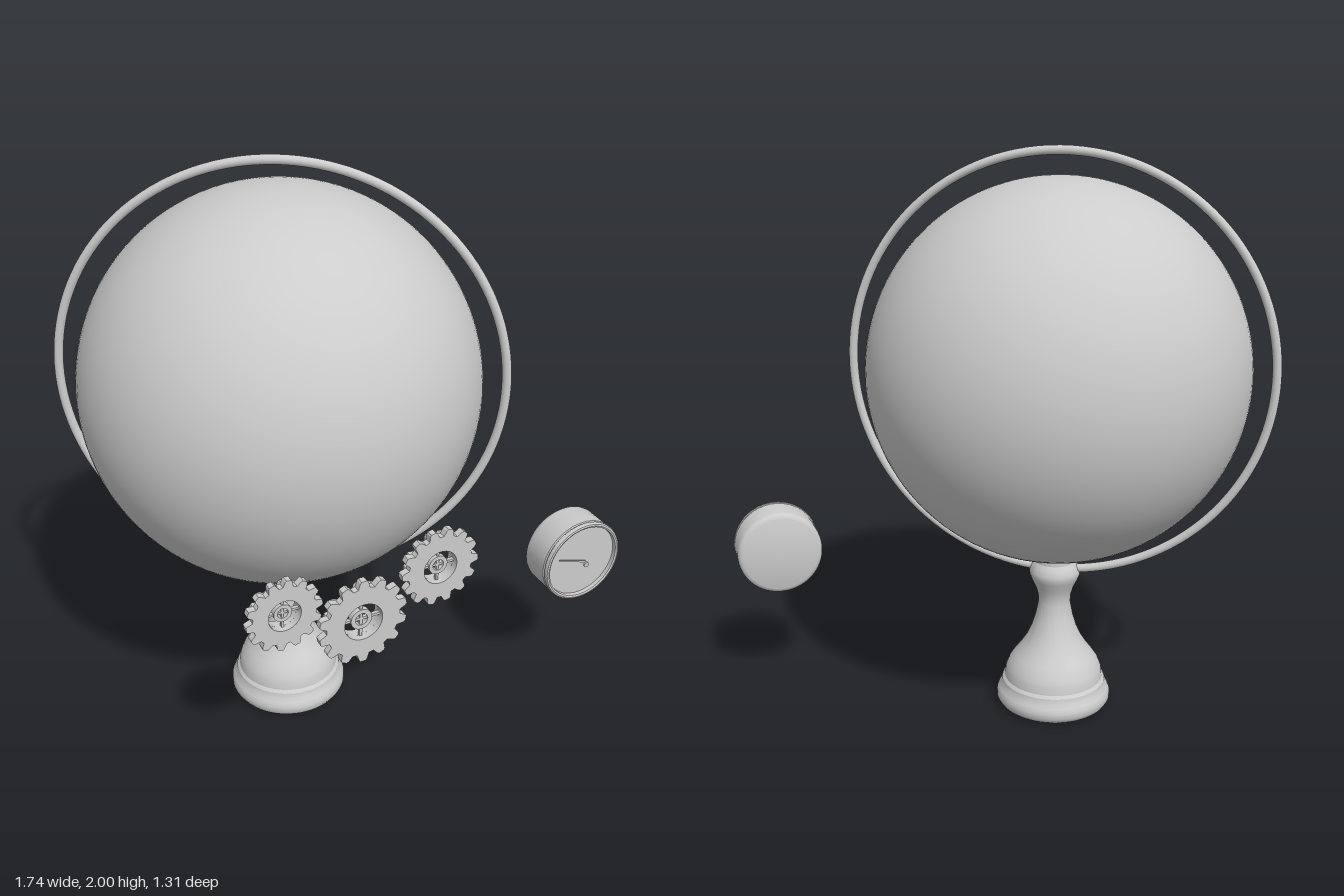
import * as THREE from 'three';
import { toCreasedNormals } from 'three/addons/utils/BufferGeometryUtils.js';

const grey = new THREE.MeshStandardMaterial({ color: 0xcccccc });
grey.name = 'plain grey';

function add(parent, name, geometry, x = 0, y = 0, z = 0) {
  const mesh = new THREE.Mesh(geometry, grey);
  mesh.name = name;
  mesh.position.set(x, y, z);
  parent.add(mesh);
  return mesh;
}

const lathe = (points, segments = 64) => toCreasedNormals(
  new THREE.LatheGeometry(points.map(([r, y]) => new THREE.Vector2(r, y)), segments), 0.55);

// Flat toothed plate with a round bore
function gearPlate(radius, bore, depth, teeth = 14) {
  const shape = new THREE.Shape();
  const root = radius * 0.83;
  const profile = [[-0.36, root], [-0.22, radius * 0.96], [-0.14, radius], [0.14, radius], [0.22, radius * 0.96], [0.36, root]];
  for (let i = 0; i < teeth; i++) {
    for (const [offset, r] of profile) {
      const a = ((i + offset) / teeth) * Math.PI * 2;
      const x = Math.cos(a) * r, y = Math.sin(a) * r;
      if (i === 0 && offset === profile[0][0]) shape.moveTo(x, y);
      else shape.lineTo(x, y);
    }
  }
  shape.closePath();
  shape.holes.push(new THREE.Path().absarc(0, 0, bore, 0, Math.PI * 2, true));
  return new THREE.ExtrudeGeometry(shape, { depth, bevelEnabled: false, curveSegments: 20 });
}

// Large gear in front, smaller one behind, joined by a spoked hub
function makeGear(name, radius, x, y, z, turn) {
  const gear = new THREE.Group();
  gear.name = name;
  gear.position.set(x, y, z);
  gear.rotation.z = turn;
  const bore = radius * 0.43;
  add(gear, 'frontGear', gearPlate(radius, bore, 0.024), 0, 0, 0.031);
  add(gear, 'backGear', gearPlate(radius * 0.76, bore, 0.024));
  const ring = new THREE.Shape().absarc(0, 0, radius * 0.24, 0, Math.PI * 2);
  ring.holes.push(new THREE.Path().absarc(0, 0, radius * 0.14, 0, Math.PI * 2, true));
  add(gear, 'hubRing', new THREE.ExtrudeGeometry(ring, { depth: 0.02, bevelEnabled: false }), 0, 0, 0.02);
  // Collar bridging the two plates
  const collar = new THREE.Shape().absarc(0, 0, bore * 1.15, 0, Math.PI * 2);
  collar.holes.push(new THREE.Path().absarc(0, 0, bore, 0, Math.PI * 2, true));
  add(gear, 'collar', new THREE.ExtrudeGeometry(collar, { depth: 0.007, bevelEnabled: false }), 0, 0, 0.024);
  for (let i = 0; i < 2; i++) {
    const spoke = add(gear, 'spoke', new THREE.BoxGeometry(bore * 2, radius * 0.06, 0.012), 0, 0, 0.03);
    spoke.rotation.z = i * Math.PI / 2 - turn;
  }
  return gear;
}

export function createModel() {
  const model = new THREE.Group();
  model.name = 'globeOnStand';
  const cx = -0.215;

  // Globe and its tilted-plane meridian ring
  add(model, 'globe', new THREE.SphereGeometry(0.655, 96, 64), cx, 1.25, 0);
  const ring = add(model, 'meridianRing', new THREE.TorusGeometry(0.73, 0.0155, 16, 128), cx, 1.255, 0);
  ring.rotation.y = -Math.PI / 6;

  // Turned pedestal
  add(model, 'pedestal', lathe([
    [0, 0], [0.185, 0], [0.198, 0.01], [0.207, 0.025], [0.207, 0.045], [0.2, 0.062],
    [0.19, 0.075], [0.187, 0.095], [0.178, 0.105], [0.174, 0.135],
    [0.17, 0.145], [0.162, 0.165], [0.145, 0.19], [0.122, 0.22], [0.1, 0.255],
    [0.082, 0.295], [0.068, 0.34], [0.057, 0.395], [0.059, 0.425], [0.068, 0.455],
    [0.082, 0.485], [0.09, 0.505], [0.09, 0.52], [0.082, 0.54], [0.072, 0.555], [0.07, 0.61], [0, 0.61],
  ]), cx, 0, 0);

  // Gear train in front of the globe
  model.add(makeGear('rightGear', 0.125, -0.478, 0.8, 0.547, 0.1));
  model.add(makeGear('middleGear', 0.153, cx, 0.69, 0.549, 0.22));
  model.add(makeGear('leftGear', 0.137, 0.055, 0.81, 0.547, 0));

  // Round gauge: case with rounded back, rim and recessed dial
  const gauge = new THREE.Group();
  gauge.name = 'gauge';
  gauge.position.set(0.712, 0.557, 0);
  const gaugeCase = add(gauge, 'gaugeCase', lathe([
    [0, 0.345], [0.135, 0.345], [0.145, 0.349], [0.151, 0.357], [0.153, 0.368],
    [0.153, 0.464], [0.149, 0.467], [0.149, 0.469], [0.153, 0.472], [0.154, 0.48],
    [0.151, 0.487], [0.145, 0.489], [0.139, 0.486], [0.138, 0.472], [0, 0.472],
  ]));
  gaugeCase.rotation.x = Math.PI / 2;

  // Tapered needle and its cap
  const needle = new THREE.Shape([
    new THREE.Vector2(0.012, -0.004), new THREE.Vector2(0.012, 0.004),
    new THREE.Vector2(-0.105, 0.0015), new THREE.Vector2(-0.105, -0.0015),
  ]);
  const pointer = add(gauge, 'needle',
    new THREE.ExtrudeGeometry(needle, { depth: 0.004, bevelEnabled: false }), 0, 0, 0.48);
  pointer.rotation.z = -0.31;
  const cap = add(gauge, 'needleCap', new THREE.CylinderGeometry(0.01, 0.01, 0.006, 20), 0, 0, 0.504);
  cap.rotation.x = Math.PI / 2;
  model.add(gauge);

  return model;
}
